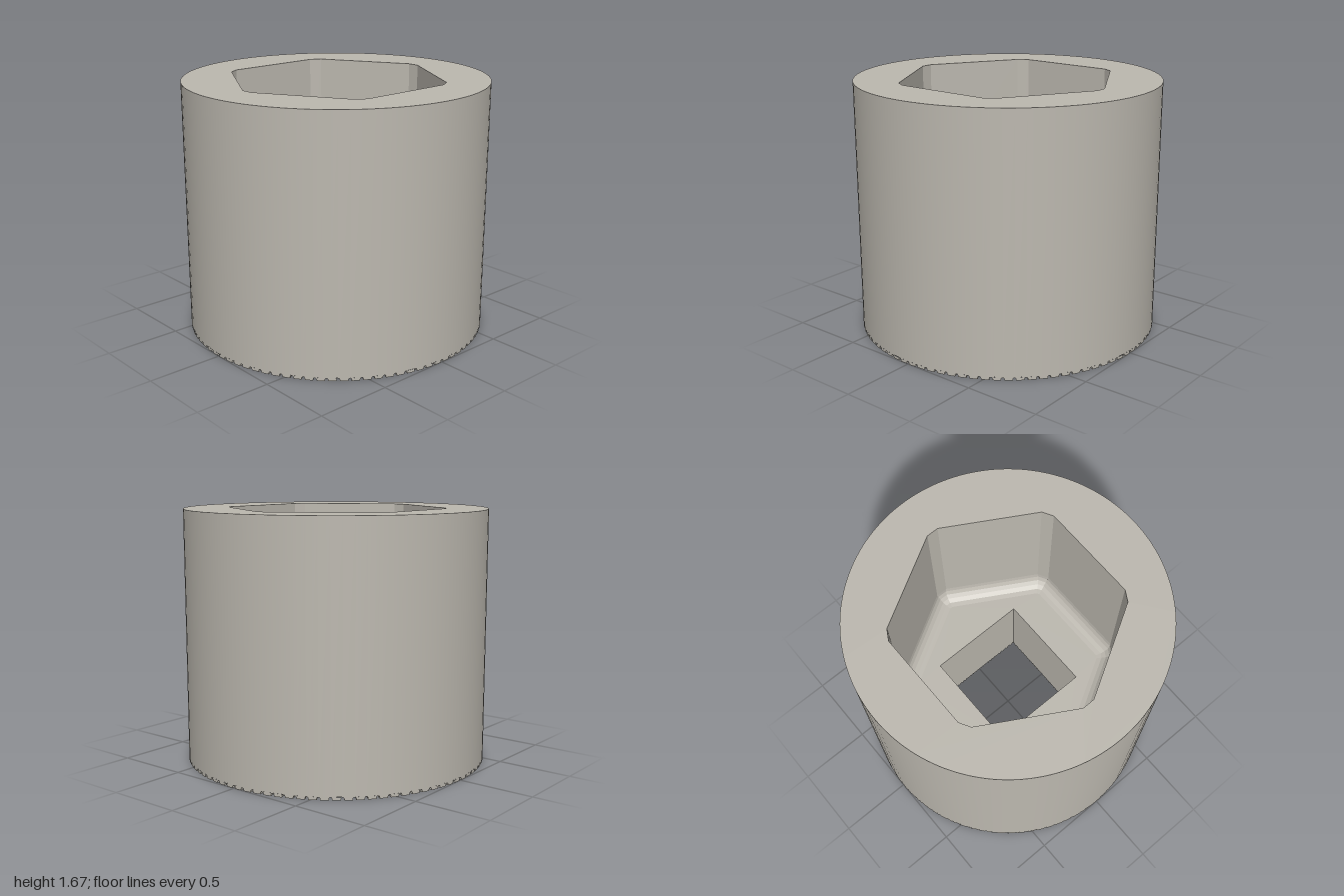
import * as THREE from 'three';

const HEIGHT = 1.67, RADIUS = 1, DRIVE = 0.333, FLOOR = 0.67, SEAM = 0.02;
const GROOVES = 88;

// Flat-shaded skin through closed rows of points; faces point to tangent x (next row - row)
function loft(rows) {
  const pos = [];
  for (let i = 0; i + 1 < rows.length; i++) {
    const a = rows[i], b = rows[i + 1], n = a.length;
    for (let j = 0; j < n; j++) {
      const k = (j + 1) % n;
      pos.push(...a[j], ...a[k], ...b[k], ...a[j], ...b[k], ...b[j]);
    }
  }
  const geo = new THREE.BufferGeometry();
  geo.setAttribute('position', new THREE.Float32BufferAttribute(pos, 3));
  geo.computeVertexNormals();
  return geo;
}

// Hexagon with clipped corners, pointing along z
function hexRing(apothem, clip, y) {
  const ring = [];
  const reach = apothem / Math.cos(Math.PI / 6) - clip / Math.sqrt(3);
  for (let i = 0; i < 6; i++) {
    const a = Math.PI / 6 + i * Math.PI / 3, c = Math.cos(a), s = Math.sin(a);
    for (const t of [-clip, clip]) ring.push([c * reach - s * t, y, s * reach + c * t]);
  }
  return ring;
}

const squareRing = (h, y) => [[h, y, -h], [h, y, h], [-h, y, h], [-h, y, -h]];
const toPoints = (ring) => ring.map(([x, , z]) => new THREE.Vector2(x, z));

// Horizontal face with a hole, facing up
function plate(shape, holeRing, y) {
  shape.holes.push(new THREE.Path(toPoints(holeRing)));
  return new THREE.ShapeGeometry(shape, 88).rotateX(-Math.PI / 2).translate(0, y, 0);
}

// Underside cut by radial grooves running from the square hole to the rim
function groovedBase() {
  const profile = [[-0.01, 0], [-0.01, 0.01], [-0.005, 0.018], [0.005, 0.018], [0.01, 0.01], [0.01, 0]];
  const rows = [[], [], [], []];
  for (let i = 0; i < GROOVES; i++) {
    const a = i / GROOVES * Math.PI * 2, c = Math.cos(a), s = Math.sin(a);
    for (const [t, y] of profile) {
      const at = (d, h) => [c * d - s * t, h, s * d + c * t];
      const outer = Math.sqrt(RADIUS * RADIUS - t * t);
      const hitX = Math.abs(c) > 1e-6 ? (Math.sign(c) * DRIVE + s * t) / c : Infinity;
      const hitZ = Math.abs(s) > 1e-6 ? (Math.sign(s) * DRIVE - c * t) / s : Infinity;
      const inner = Math.min(hitX, hitZ);
      rows[0].push(at(outer, SEAM));
      rows[1].push(at(outer, y));
      rows[2].push(at(inner, y));
      rows[3].push(at(inner, SEAM));
    }
  }
  return loft(rows);
}

export function createModel() {
  const group = new THREE.Group();
  const steel = new THREE.MeshStandardMaterial({ color: 0xbcb8af });
  steel.name = 'warm grey steel';
  const add = (name, geo) => {
    const mesh = new THREE.Mesh(geo, steel);
    mesh.name = name;
    group.add(mesh);
  };

  // Round outer wall
  const wall = new THREE.CylinderGeometry(RADIUS, RADIUS, HEIGHT - SEAM, GROOVES, 1, true);
  add('outerWall', wall.translate(0, (HEIGHT + SEAM) / 2, 0));

  // Hexagonal pocket with a rounded foot
  const foot = 0.1, pocket = [];
  for (let i = 0; i <= 5; i++) {
    const a = i / 5 * Math.PI / 2;
    pocket.push(hexRing(0.545 + foot * Math.sin(a), 0.01 + 0.03 * i / 5, FLOOR + foot * (1 - Math.cos(a))));
  }
  const mouth = hexRing(0.645, 0.04, HEIGHT);
  pocket.push(mouth);
  add('hexPocket', loft(pocket));

  // Top rim and pocket floor
  const disc = new THREE.Shape().absarc(0, 0, RADIUS, 0, Math.PI * 2, false);
  add('topRim', plate(disc, mouth, HEIGHT));
  add('pocketFloor', plate(new THREE.Shape(toPoints(pocket[0])), squareRing(DRIVE, 0), FLOOR));

  // Square hole through the lower part
  add('squareHole', loft([squareRing(DRIVE, SEAM), squareRing(DRIVE, FLOOR)]));

  add('groovedBase', groovedBase());
  return group;
}
